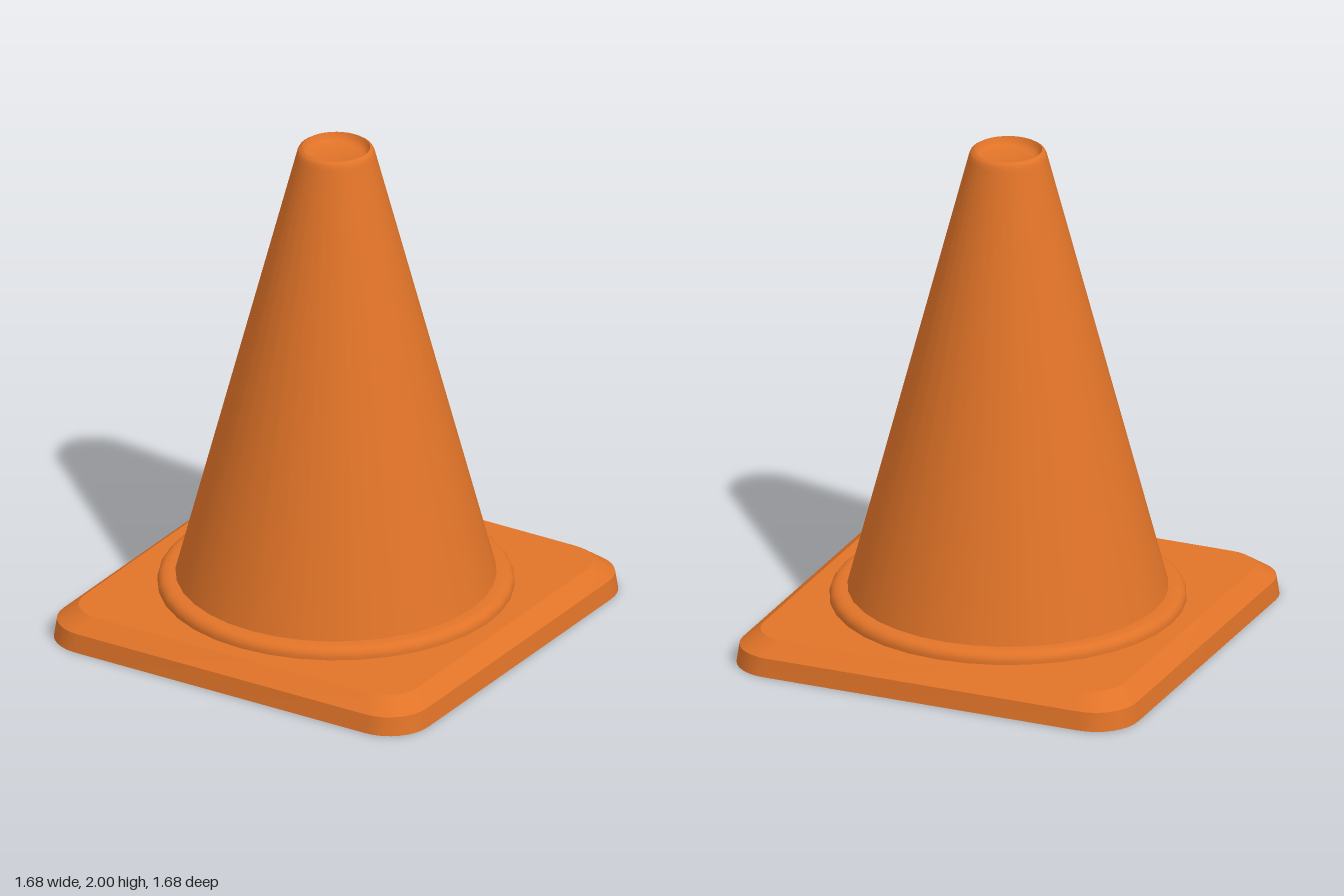
import * as THREE from 'three';
import { toCreasedNormals } from 'three/addons/utils/BufferGeometryUtils.js';

const CREASE = 0.52;
const material = new THREE.MeshStandardMaterial({ color: 0xe07328 });

function addPart(group, name, geometry) {
  const mesh = new THREE.Mesh(toCreasedNormals(geometry, CREASE), material);
  mesh.name = name;
  group.add(mesh);
}

// Turned part from [radius, height] pairs, listed from the bottom up
function turned(profile) {
  return new THREE.LatheGeometry(profile.map(([r, y]) => new THREE.Vector2(r, y)), 36);
}

// Stack of rounded squares [half width, corner radius, height], capped at both ends
function roundedSquareLoft(sections, steps = 8) {
  const positions = [], index = [];
  const n = 4 * (steps + 1);
  for (const [half, radius, y] of sections) {
    for (let corner = 0; corner < 4; corner++) {
      const mid = (corner + 0.5) * Math.PI / 2;
      const cx = Math.sign(Math.cos(mid)) * (half - radius);
      const cz = Math.sign(Math.sin(mid)) * (half - radius);
      for (let i = 0; i <= steps; i++) {
        const a = (corner + i / steps) * Math.PI / 2;
        positions.push(cx + radius * Math.cos(a), y, cz + radius * Math.sin(a));
      }
    }
  }
  for (let s = 0; s < sections.length - 1; s++) {
    for (let i = 0; i < n; i++) {
      const a = s * n + i, b = s * n + (i + 1) % n;
      index.push(a, a + n, b, b, a + n, b + n);
    }
  }
  const last = sections.length - 1;
  const bottom = positions.length / 3, top = bottom + 1;
  positions.push(0, sections[0][2], 0, 0, sections[last][2], 0);
  for (let i = 0; i < n; i++) {
    const j = (i + 1) % n;
    index.push(bottom, i, j, top, last * n + j, last * n + i);
  }
  const geometry = new THREE.BufferGeometry();
  geometry.setAttribute('position', new THREE.Float32BufferAttribute(positions, 3));
  geometry.setIndex(index);
  return geometry;
}

export function createModel() {
  const model = new THREE.Group();
  model.name = 'trafficCone';

  // Square foot with tapered sides and a wide bevel
  addPart(model, 'base', roundedSquareLoft([
    [0.838, 0.175, 0], [0.828, 0.17, 0.075], [0.76, 0.145, 0.13],
  ]));

  // Raised collar with a rounded shoulder
  addPart(model, 'collar', turned([
    [0.69, 0.128], [0.69, 0.143], [0.686, 0.156], [0.677, 0.167],
    [0.664, 0.174], [0.648, 0.177], [0.61, 0.177],
  ]));

  // Tapered body with a rounded lip and a shallow dished tip
  addPart(model, 'coneBody', turned([
    [0.621, 0.175], [0.154, 1.965], [0.15, 1.98], [0.144, 1.992], [0.132, 2],
    [0.125, 1.982], [0.115, 1.971], [0.102, 1.966], [0, 1.966],
  ]));

  return model;
}
